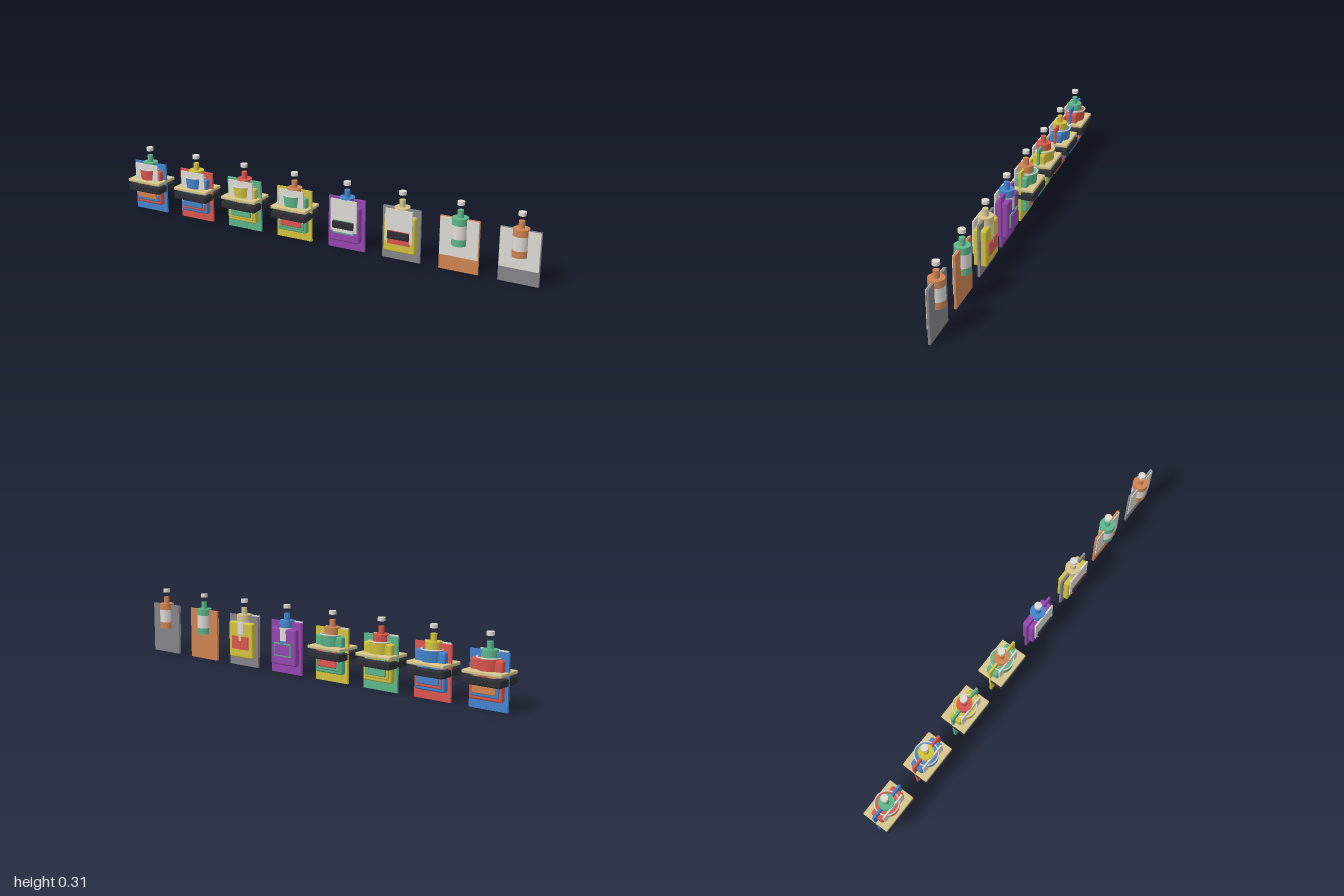
import * as THREE from 'three';
import { RoundedBoxGeometry } from 'three/addons/geometries/RoundedBoxGeometry.js';

const COLORS = {
  red: 0xd9564d, blue: 0x4384cc, green: 0x5cb58a, yellow: 0xd2c23e, orange: 0xcf8452,
  purple: 0x9445ae, grey: 0x85858a, white: 0xdedbd5, beige: 0xd6c68c, black: 0x2d2e34,
};
const M = {};
for (const [name, color] of Object.entries(COLORS)) {
  M[name] = new THREE.MeshStandardMaterial({ color });
  M[name].name = name;
}

// One entry per bottle stand, from -x to +x
const STANDS = [
  { card: 'blue', jacket: 'red', pocket: 'orange', bottle: 'green', layer: 'blue', tray: true },
  { card: 'red', jacket: 'blue', pocket: 'blue', bottle: 'yellow', layer: 'red', tray: true },
  { card: 'green', jacket: 'yellow', pocket: 'green', bottle: 'red', layer: 'yellow', tray: true },
  { card: 'yellow', jacket: 'green', pocket: 'red', bottle: 'orange', layer: 'green', tray: true },
  { card: 'purple', jacket: 'purple', pocket: 'green', bottle: 'blue' },
  { card: 'grey', jacket: 'yellow', pocket: 'red', bottle: 'beige' },
  { card: 'orange', bottle: 'green' },
  { card: 'grey', bottle: 'orange' },
];

function add(group, name, geometry, color, x, y, z) {
  const mesh = new THREE.Mesh(geometry, M[color]);
  mesh.name = name;
  mesh.position.set(x, y, z);
  group.add(mesh);
  return mesh;
}

// Box given by width, bottom, top, back and front
function box(group, name, color, w, y0, y1, z0, z1, r = 0) {
  const size = [w, y1 - y0, z1 - z0];
  const geometry = r ? new RoundedBoxGeometry(...size, 3, r) : new THREE.BoxGeometry(...size);
  return add(group, name, geometry, color, 0, (y0 + y1) / 2, (z0 + z1) / 2);
}

// Upright cylinder given by radii, bottom and top
function tube(group, name, color, rTop, rBottom, y0, y1) {
  return add(group, name, new THREE.CylinderGeometry(rTop, rBottom, y1 - y0, 32), color, 0, (y0 + y1) / 2, 0);
}

function bottle(color) {
  const g = new THREE.Group();
  g.name = 'bottle';
  tube(g, 'bottleBase', color, 0.034, 0.034, 0.12, 0.15);
  tube(g, 'bottleLabel', 'white', 0.034, 0.034, 0.15, 0.21);
  tube(g, 'bottleShoulder', color, 0.034, 0.034, 0.21, 0.24);
  tube(g, 'bottleNeck', color, 0.013, 0.013, 0.24, 0.272);
  tube(g, 'bottleCap', 'white', 0.016, 0.016, 0.294, 0.31);
  return g;
}

function stand(s) {
  const g = new THREE.Group();
  g.name = 'stand';
  box(g, 'card', s.card, 0.175, 0, 0.235, -0.005, 0.005);
  g.add(bottle(s.bottle));

  if (!s.jacket) {
    // Plain stand: pale plate on the card
    box(g, 'cardPlate', 'white', 0.17, 0.065, 0.233, 0.005, 0.009);
    return g;
  }

  // Jacket around the card, with a pale front panel
  box(g, 'jacket', s.jacket, 0.145, 0.04, 0.205, -0.029, 0.029, 0.008);
  box(g, 'frontPanel', 'white', 0.125, 0.09, 0.235, 0.029, 0.036);

  if (!s.tray) {
    // Pocket and strap
    box(g, 'pocket', s.pocket, 0.1, 0.08, 0.14, -0.033, 0.038);
    if (s.pocket === 'green') {
      box(g, 'pocketInset', s.jacket, 0.088, 0.086, 0.134, -0.036, -0.033);
      box(g, 'pocketStripe', 'white', 0.095, 0.088, 0.102, 0.038, 0.041);
    }
    box(g, 'strap', 'black', 0.1, 0.104, 0.138, 0.036, 0.046, 0.004);
    return g;
  }

  // Full stand: outer layer, pocket, cup, tray and belt
  box(g, 'outerLayer', s.layer, 0.125, 0.055, 0.14, -0.036, 0.036, 0.006);
  box(g, 'pocket', s.pocket, 0.105, 0.068, 0.14, -0.043, 0.043, 0.005);
  tube(g, 'cup', s.jacket, 0.052, 0.046, 0.135, 0.208);
  const rim = add(g, 'cupRim', new THREE.TorusGeometry(0.051, 0.003, 8, 40), 'white', 0, 0.21, 0);
  rim.rotation.x = Math.PI / 2;
  box(g, 'tray', 'beige', 0.178, 0.145, 0.16, -0.063, 0.063, 0.004);
  box(g, 'belt', 'black', 0.175, 0.104, 0.136, -0.065, 0.065, 0.006);
  return g;
}

export function createModel() {
  const model = new THREE.Group();
  model.name = 'bottleStandRow';
  STANDS.forEach((s, i) => {
    const g = stand(s);
    g.position.x = (i - 3.5) * 0.2605;
    model.add(g);
  });
  return model;
}
